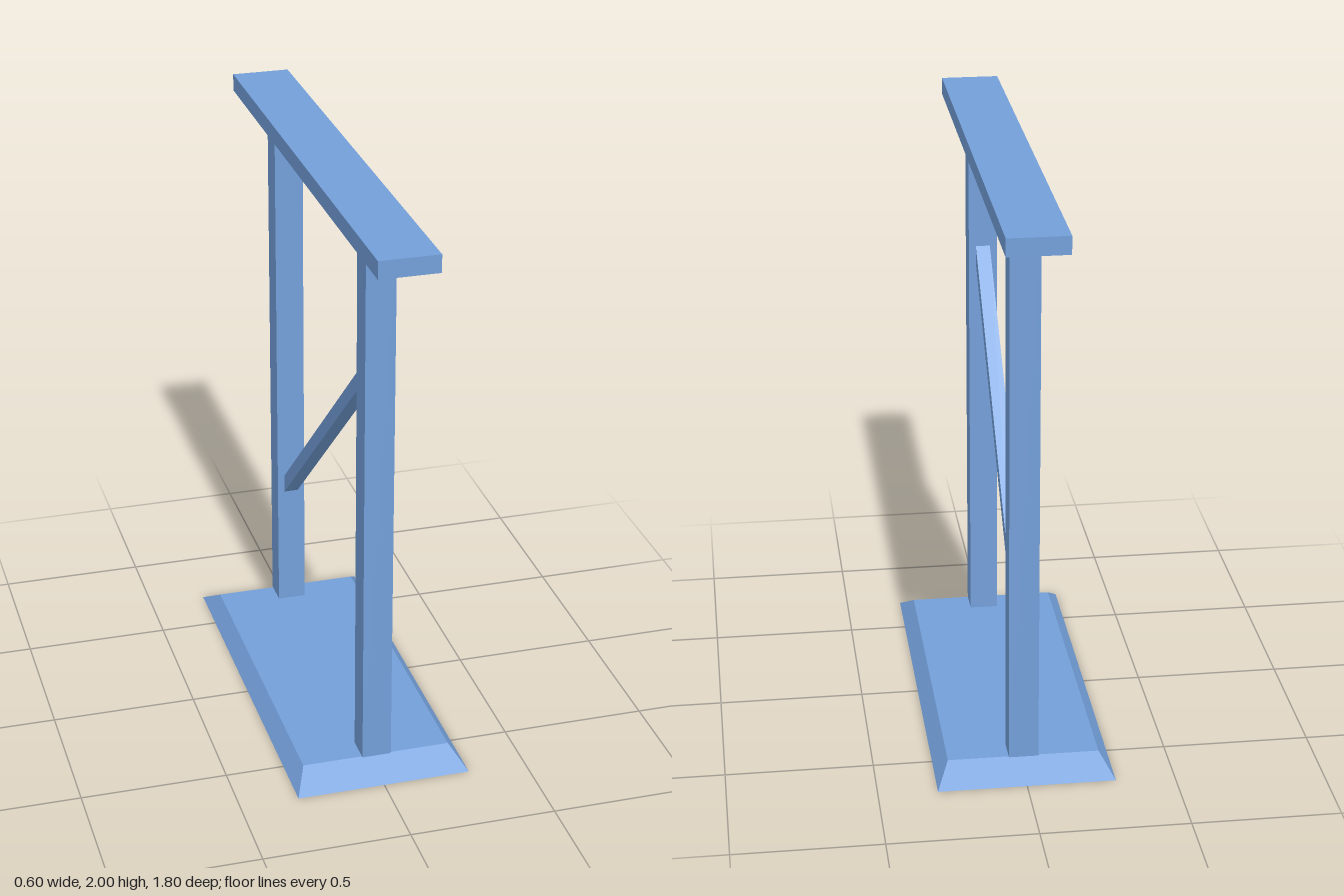
import * as THREE from 'three';

export function createModel() {
  const model = new THREE.Group();
  model.name = 'braceFrame';
  const blue = new THREE.MeshStandardMaterial({ color: 0x739fd9 });
  blue.name = 'steel blue';

  const add = (name, geometry, x = 0, y = 0, z = 0) => {
    const mesh = new THREE.Mesh(geometry, blue);
    mesh.name = name;
    mesh.position.set(x, y, z);
    model.add(mesh);
    return mesh;
  };

  // Base slab, its top face drawn in to make bevelled sides
  const base = new THREE.BoxGeometry(0.6, 0.06, 1.4).toNonIndexed();
  const p = base.attributes.position;
  for (let i = 0; i < p.count; i++) {
    if (p.getY(i) > 0) {
      p.setX(i, Math.sign(p.getX(i)) * 0.256);
      p.setZ(i, Math.sign(p.getZ(i)) * 0.6);
    }
  }
  base.computeVertexNormals();
  add('base', base, 0, 0.03, 0);

  // Two square posts
  for (const [name, side] of [['frontPost', 1], ['backPost', -1]]) {
    add(name, new THREE.BoxGeometry(0.1, 1.88, 0.096), 0, 1, side * 0.559);
  }

  // Top board
  add('topBoard', new THREE.BoxGeometry(0.2, 0.06, 1.8), 0, 1.97, 0);

  // Diagonal brace, cut upright where it meets the posts
  const outline = new THREE.Shape([
    new THREE.Vector2(-0.511, 1.425),
    new THREE.Vector2(0.511, 0.511),
    new THREE.Vector2(0.511, 0.577),
    new THREE.Vector2(-0.511, 1.491),
  ]);
  const brace = new THREE.ExtrudeGeometry(outline, { depth: 0.05, bevelEnabled: false });
  brace.translate(0, 0, -0.025).rotateY(Math.PI / 2);
  add('diagonalBrace', brace);

  return model;
}
